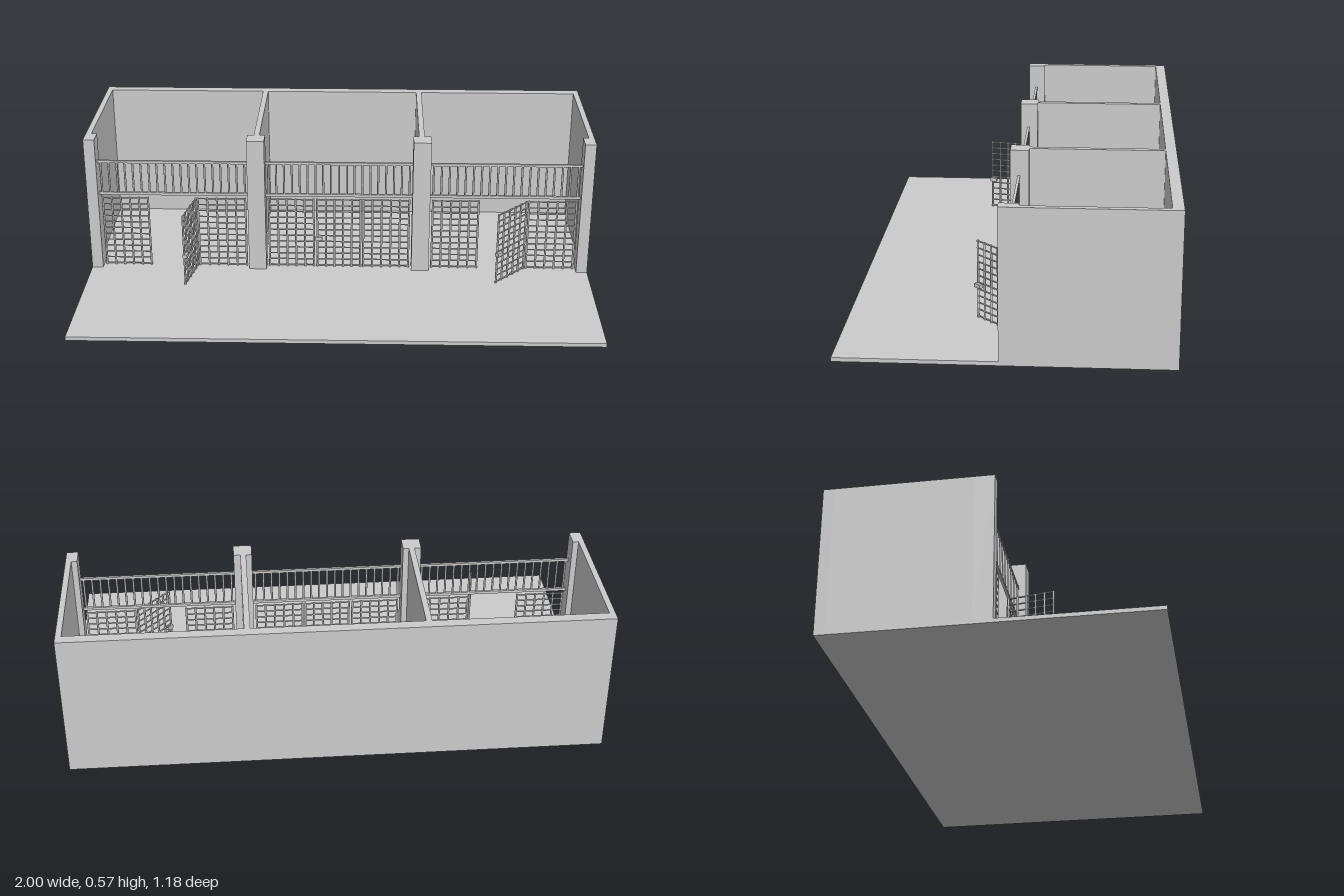
import * as THREE from 'three';
import { mergeGeometries } from 'three/addons/utils/BufferGeometryUtils.js';

const FLOOR = 0.015, TOP = 0.57, BAR_Z = -0.012;

export function createModel() {
  const model = new THREE.Group();
  model.name = 'cellBlock';
  const mat = new THREE.MeshStandardMaterial({ color: 0xcccccc });

  // Box geometry from its two opposite corners
  const span = (x0, x1, y0, y1, z0, z1) =>
    new THREE.BoxGeometry(x1 - x0, y1 - y0, z1 - z0)
      .translate((x0 + x1) / 2, (y0 + y1) / 2, (z0 + z1) / 2);

  const add = (name, geometry, parent = model) => {
    const mesh = new THREE.Mesh(geometry, mat);
    mesh.name = name;
    parent.add(mesh);
    return mesh;
  };

  // Round bars, upright or lying along x
  const upright = (x, y0, y1, r) =>
    new THREE.CylinderGeometry(r, r, y1 - y0, 8).translate(x, (y0 + y1) / 2, 0);
  const level = (y, x0, x1, r) =>
    new THREE.CylinderGeometry(r, r, x1 - x0, 8).rotateZ(Math.PI / 2).translate((x0 + x1) / 2, y, 0);

  // Lattice of bars from x0 to x1, in the plane z = 0
  const lattice = (x0, x1) => {
    const parts = [], r = 0.004, cols = 6, rows = 12;
    for (let i = 0; i < cols; i++) {
      parts.push(upright(x0 + r + (x1 - x0 - 2 * r) * i / (cols - 1), FLOOR, 0.314, r));
    }
    for (let j = 0; j < rows; j++) {
      parts.push(level(0.021 + 0.0263 * j, x0, x1, 0.003));
    }
    return mergeGeometries(parts);
  };

  // Rails and bars above the doors
  const transom = (x0, x1) => {
    const parts = [
      span(x0, x1, 0.325, 0.336, -0.005, 0.005),
      span(x0, x1, 0.462, 0.472, -0.005, 0.005),
    ];
    const n = 19;
    for (let i = 0; i < n; i++) {
      parts.push(upright(x0 + 0.012 + (x1 - x0 - 0.024) * i / (n - 1), 0.33, 0.467, 0.004));
    }
    return mergeGeometries(parts);
  };

  // Floor and walls
  add('floor', span(-1, 1, 0, FLOOR, -0.592, 0.592));
  add('backWall', span(-1, 1, FLOOR, TOP, -0.592, -0.552));
  for (const s of [-1, 1]) {
    const side = s < 0 ? 'right' : 'left';
    const mirrored = (a, b, z0, z1) =>
      span(Math.min(s * a, s * b), Math.max(s * a, s * b), FLOOR, TOP, z0, z1);
    add(side + 'SideWall', mirrored(0.978, 1, -0.552, -0.05));
    add(side + 'CornerPillar', mirrored(0.956, 1, -0.05, 0.02));
    add(side + 'PartitionWall', mirrored(0.314, 0.336, -0.552, -0.05));
    add(side + 'InnerPillar', mirrored(0.292, 0.362, -0.05, 0.02));
  }

  // Barred fronts: opening edges, door gap edges and door swing angle
  const cells = [
    { x: [-0.956, -0.362], gap: [-0.757, -0.57], swing: 1.39 },
    { x: [-0.292, 0.292], gap: [-0.095, 0.092], swing: 0 },
    { x: [0.362, 0.956], gap: [0.562, 0.75], swing: 0.82 },
  ];
  cells.forEach(({ x, gap, swing }, i) => {
    const front = new THREE.Group();
    front.name = 'cellFront' + (i + 1);
    front.position.z = BAR_Z;
    model.add(front);

    add('transomBars', transom(x[0], x[1]), front);
    add('rightPanel', lattice(x[0] + 0.008, gap[0] - 0.002), front);
    add('leftPanel', lattice(gap[1] + 0.002, x[1] - 0.008), front);

    // Door hung on its left edge, with a lock box at the free edge
    const door = new THREE.Group();
    door.name = 'door';
    door.position.x = gap[1] - 0.002;
    door.rotation.y = swing;
    front.add(door);
    const width = gap[1] - gap[0] - 0.006;
    add('doorLattice', lattice(-width, 0), door);
    add('lockBox', span(-width - 0.004, -width + 0.024, 0.134, 0.149, -0.004, 0.013), door);
  });

  return model;
}
